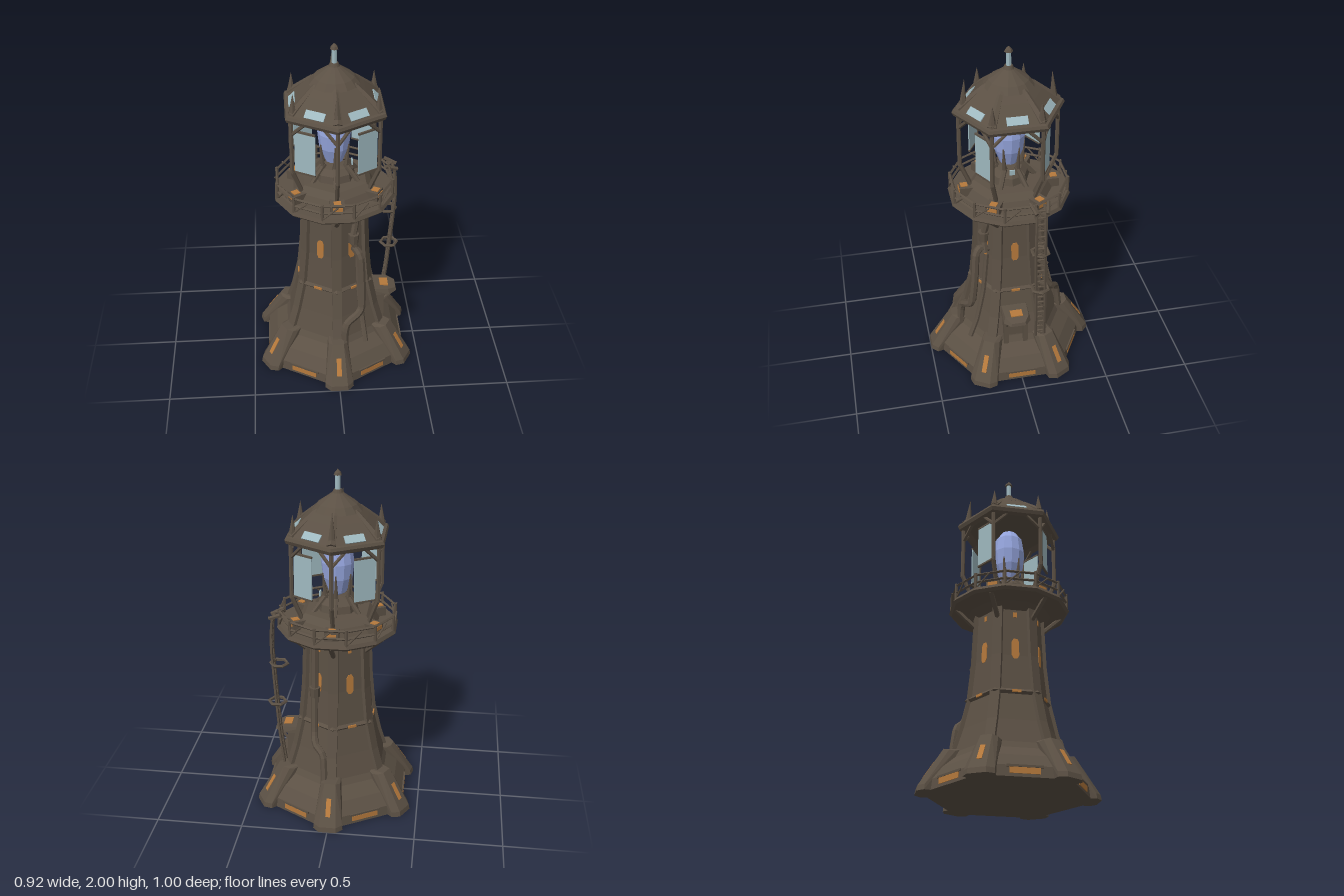
import * as THREE from 'three';
import { ConvexGeometry } from 'three/addons/geometries/ConvexGeometry.js';

const mat = (name, color) => new THREE.MeshStandardMaterial({ name, color, flatShading: true });
const V = (x, y, z) => new THREE.Vector3(x, y, z);
const shapeOf = pts => new THREE.Shape(pts.map(p => new THREE.Vector2(...p)));

export function createModel() {
  const iron = mat('dark iron', 0x5b5044);
  const amber = mat('amber window', 0xb5793c);
  const glass = mat('pale glass', 0x9fb9c0);
  glass.side = THREE.DoubleSide;
  const crystal = mat('blue crystal', 0x96a6de);
  const model = new THREE.Group();
  model.name = 'lighthouse';

  const add = (name, geo, material = iron, parent = model) => {
    const m = new THREE.Mesh(geo, material);
    m.name = name;
    parent.add(m);
    return m;
  };
  // Turned part with n sides; corners face +z unless turned by start
  const turned = (name, pts, n = 6, material = iron, start = 0) =>
    add(name, new THREE.LatheGeometry(pts.map(p => new THREE.Vector2(...p)), n, start), material);
  const ring = (name, r, y, t, n, start = 0) =>
    turned(name, [[r, y - t], [r + t, y], [r, y + t], [r - t, y], [r, y - t]], n, iron, start);
  const box = (name, w, h, d, x, y, z, parent, material = iron, tilt = 0) => {
    const m = add(name, new THREE.BoxGeometry(w, h, d), material, parent);
    m.position.set(x, y, z);
    m.rotation.x = -tilt;
    return m;
  };
  const rod = (name, a, b, r, parent = model, rTop = r) => {
    const d = b.clone().sub(a);
    const m = add(name, new THREE.CylinderGeometry(rTop, r, d.length(), 6), iron, parent);
    m.position.copy(a).add(b).multiplyScalar(0.5);
    m.quaternion.setFromUnitVectors(V(0, 1, 0), d.normalize());
    return m;
  };
  const pipe = (name, pts, r) => add(name,
    new THREE.TubeGeometry(new THREE.CatmullRomCurve3(pts.map(p => V(...p)), false, 'catmullrom', 0.25), 32, r, 7));
  // Group whose +z points outward at the given angle
  const sector = (name, angle) => {
    const g = new THREE.Group();
    g.name = name;
    g.rotation.y = angle;
    model.add(g);
    return g;
  };

  // Base skirt and tower shaft
  turned('baseSkirt', [[0, 0], [0.473, 0], [0.467, 0.06], [0.41, 0.13], [0.335, 0.19], [0.3, 0.25]]);
  turned('towerShaft', [[0.325, 0.19], [0.272, 0.36], [0.23, 0.54], [0.209, 0.75], [0.196, 1.08]]);
  ring('towerBand', 0.234, 0.53, 0.016, 6);

  // Gallery deck and railing
  const t12 = Math.PI / 12;
  turned('galleryDeck', [[0.18, 1.03], [0.24, 1.06], [0.335, 1.08], [0.35, 1.095], [0.34, 1.115], [0, 1.115]], 12, iron, t12);
  for (const y of [1.15, 1.195]) ring('handrail', 0.333, y, 0.008, 12, t12);
  for (let i = 0; i < 12; i++) {
    const g = sector('railing', (i + 0.5) * Math.PI / 6);
    rod('railPost', V(0, 1.1, 0.335), V(0, 1.205, 0.335), 0.009, g);
    rod('railBrace', V(0, 1.11, 0.335), V(0.085, 1.19, 0.324), 0.005, g);
  }

  // Lantern floor, pedestal and lens
  turned('lanternFloor', [[0.27, 1.11], [0.24, 1.16], [0.2, 1.195], [0, 1.205]]);
  turned('lensPedestal', [[0.12, 1.19], [0.11, 1.24], [0.08, 1.27], [0, 1.28]], 8);
  turned('lens', [[0, 1.27], [0.05, 1.3], [0.084, 1.39], [0.094, 1.48], [0.08, 1.57], [0.045, 1.62], [0, 1.635]], 12, crystal);

  // Roof, cap and finial
  turned('roof', [[0, 1.655], [0.25, 1.63], [0.28, 1.61], [0.302, 1.62], [0.312, 1.64], [0.304, 1.656],
    [0.285, 1.66], [0.245, 1.696], [0.19, 1.745], [0.13, 1.795], [0, 1.82]]);
  turned('roofCap', [[0.14, 1.78], [0.11, 1.815], [0.06, 1.85], [0.03, 1.872], [0.022, 1.89], [0, 1.89]], 14);
  turned('finialPost', [[0.015, 1.88], [0.014, 1.968]], 8, glass);
  turned('finialTip', [[0, 1.965], [0.024, 1.968], [0.018, 1.982], [0, 2]], 6);

  const ribGeo = new THREE.ExtrudeGeometry(shapeOf([[0.16, 0.18], [0.335, 0.18], [0.312, 0.25], [0.277, 0.36],
    [0.235, 0.54], [0.214, 0.75], [0.201, 1.06], [0.15, 1.06]]), { depth: 0.056, bevelEnabled: false });
  ribGeo.translate(0, 0, -0.028).rotateY(-Math.PI / 2);

  // Half outline (x, y, z) of a buttress foot, mirrored
  const foot = [[0.05, 0, 0.3], [0.055, 0, 0.41], [0.085, 0, 0.464], [0.083, 0.03, 0.46], [0.05, 0, 0.5], [0.048, 0.03, 0.495],
    [0.06, 0.225, 0.3], [0.055, 0.23, 0.335], [0.032, 0.24, 0.362], [0.05, 0.24, 0.25]];
  const footGeo = new ConvexGeometry(foot.flatMap(([x, y, z]) => [V(x, y, z), V(-x, y, z)]));

  // Tall window with cut corners
  const windowGeo = new THREE.ExtrudeGeometry(shapeOf([[-0.011, -0.06], [0.011, -0.06], [0.021, -0.04], [0.021, 0.04],
    [0.011, 0.06], [-0.011, 0.06], [-0.021, 0.04], [-0.021, -0.04]]), { depth: 0.008, bevelEnabled: false });

  for (let i = 0; i < 6; i++) {
    // Corner parts
    const c = sector('corner', i * Math.PI / 3);
    add('buttressFoot', footGeo, iron, c);
    box('footWindow', 0.028, 0.105, 0.008, 0, 0.125, 0.434, c, amber, 0.567);
    add('towerRib', ribGeo, iron, c);
    rod('galleryStrut', V(0, 0.98, 0.195), V(0, 1.085, 0.31), 0.014, c);
    box('postFoot', 0.08, 0.055, 0.1, 0, 1.14, 0.235, c);
    box('postFootWindow', 0.055, 0.022, 0.008, 0, 1.146, 0.285, c, amber);
    box('postFootTopWindow', 0.04, 0.006, 0.04, 0, 1.169, 0.258, c, amber);
    rod('lowerPost', V(0, 1.16, 0.215), V(0, 1.31, 0.276), 0.013, c);
    rod('lanternPost', V(0, 1.3, 0.276), V(0, 1.64, 0.276), 0.012, c);
    rod('lensClaw', V(0, 1.25, 0.072), V(0, 1.42, 0.09), 0.016, c, 0.004);
    rod('clawLeg', V(0, 1.19, 0.15), V(0, 1.29, 0.065), 0.015, c);
    for (const s of [-1, 1]) rod('postBrace', V(0, 1.54, 0.276), V(s * 0.075, 1.625, 0.234), 0.01, c);
    // Tall roof spikes front and back, short ones on the other corners
    const tall = i % 3 === 0;
    rod('roofSpike', V(0, 1.66, tall ? 0.25 : 0.265), V(0, tall ? 1.83 : 1.775, tall ? 0.238 : 0.262), 0.024, c, 0.001);
    rod('roofRidge', V(0, 1.655, 0.27), V(0, 1.775, 0.13), 0.028, c, 0.018);

    // Face parts
    const f = sector('face', (i + 0.5) * Math.PI / 3);
    box('baseWindow', 0.16, 0.032, 0.008, 0, 0.033, 0.408, f, amber);
    box('baseWindowSill', 0.19, 0.012, 0.016, 0, 0.056, 0.404, f);
    const pane = add('towerWindow', windowGeo, amber, f);
    pane.rotation.x = -0.035;
    pane.position.set(0, 0.79, 0.1755);
    box('upperWindow', 0.02, 0.03, 0.008, 0, 1.0, 0.1725, f, amber);
    box('bandWindow', 0.05, 0.014, 0.008, 0, 0.53, 0.214, f, amber);
    box('skylight', 0.115, 0.046, 0.008, 0, 1.681, 0.229, f, glass, 0.8);
    // Half-width panes beside the side posts; the two side faces stay open
    if (i % 3 !== 1) {
      const s = i === 0 || i === 3 ? 1 : -1;
      box('lanternPane', 0.124, 0.24, 0.006, s * 0.06, 1.44, 0.234, f, glass);
      for (const y of [1.315, 1.565]) box('paneRail', 0.126, 0.01, 0.012, s * 0.06, y, 0.234, f);
    }
  }
  box('pedestalWindow', 0.03, 0.03, 0.008, 0, 1.28, 0.1, sector('pedestalFront', Math.PI / 2), glass);

  // Door porch on the left side
  const door = sector('door', Math.PI / 2);
  door.position.z = 0.015;
  for (const s of [-1, 1]) {
    box('doorJamb', 0.028, 0.22, 0.07, s * 0.058, 0.3, 0.262, door);
    rod('hoodBracket', V(s * 0.055, 0.32, 0.28), V(s * 0.055, 0.39, 0.345), 0.01, door);
  }
  box('doorLeaf', 0.09, 0.2, 0.05, 0, 0.28, 0.245, door);
  add('doorHood', new ConvexGeometry([-1, 1].flatMap(s => [V(s * 0.08, 0.385, 0.18), V(s * 0.08, 0.385, 0.33),
    V(s * 0.045, 0.39, 0.375), V(s * 0.075, 0.43, 0.18), V(s * 0.07, 0.42, 0.32), V(s * 0.04, 0.408, 0.37)])), iron, door);
  box('hoodWindow', 0.07, 0.006, 0.05, 0, 0.424, 0.3, door, amber, -0.08);

  // Hanging ladder with rungs and hoops
  const rail = z => new THREE.CatmullRomCurve3([V(0.31, 1.19, z), V(0.345, 1.18, z), V(0.365, 1.0, z), V(0.36, 0.88, z),
    V(0.34, 0.6, z - 0.01), V(0.325, 0.42, z - 0.015), V(0.3, 0.23, z - 0.02)]);
  const railA = rail(-0.083), railB = rail(-0.135);
  for (const r of [railA, railB]) add('ladderRail', new THREE.TubeGeometry(r, 30, 0.009, 5));
  const rungs = 24;
  for (let i = 1; i < rungs; i++) {
    rod('ladderRung', railA.getPointAt(i / rungs), railB.getPointAt(i / rungs), 0.007);
    if (i % 2) rod('ladderBrace', railA.getPointAt(i / rungs), railB.getPointAt((i + 1) / rungs), 0.005);
  }
  for (const [x, y] of [[0.325, 0.88], [0.34, 0.63]]) {
    const hoop = add('ladderHoop', new THREE.TorusGeometry(0.05, 0.01, 5, 6));
    hoop.rotation.x = Math.PI / 2;
    hoop.position.set(x, y, -0.115);
  }
  for (const z of [-0.06, -0.16]) rod('ladderHook', V(0.3, 1.2, z), V(0.37, 1.17, z * 0.6 - 0.045), 0.012);

  // Wall pipes with valves, front and back
  pipe('frontPipe', [[0.1, 0.78, 0.13], [0.115, 0.8, 0.19], [0.135, 0.77, 0.22], [0.145, 0.6, 0.232], [0.145, 0.43, 0.25],
    [0.12, 0.39, 0.27], [0.06, 0.35, 0.295], [0.045, 0.3, 0.305], [0.04, 0.18, 0.31]], 0.023);
  pipe('frontUpperPipe', [[0.11, 1.04, 0.145], [0.11, 0.96, 0.152], [0.095, 0.86, 0.168], [0.125, 0.77, 0.165]], 0.02);
  pipe('frontDrain', [[0.125, 0.76, 0.155], [0.135, 0.5, 0.18], [0.155, 0.3, 0.225], [0.17, 0.18, 0.27]], 0.016);
  pipe('backPipe', [[0.11, 1.06, -0.155], [0.11, 0.8, -0.17], [0.11, 0.5, -0.205], [0.1, 0.43, -0.245],
    [0.05, 0.38, -0.285], [0.04, 0.2, -0.31]], 0.021);
  for (const [x, y, z] of [[0.1, 0.87, 0.168], [0.11, 0.74, -0.175]]) {
    add('pipeValve', new THREE.CylinderGeometry(0.032, 0.028, 0.06, 8)).position.set(x, y, z);
  }
  return model;
}
